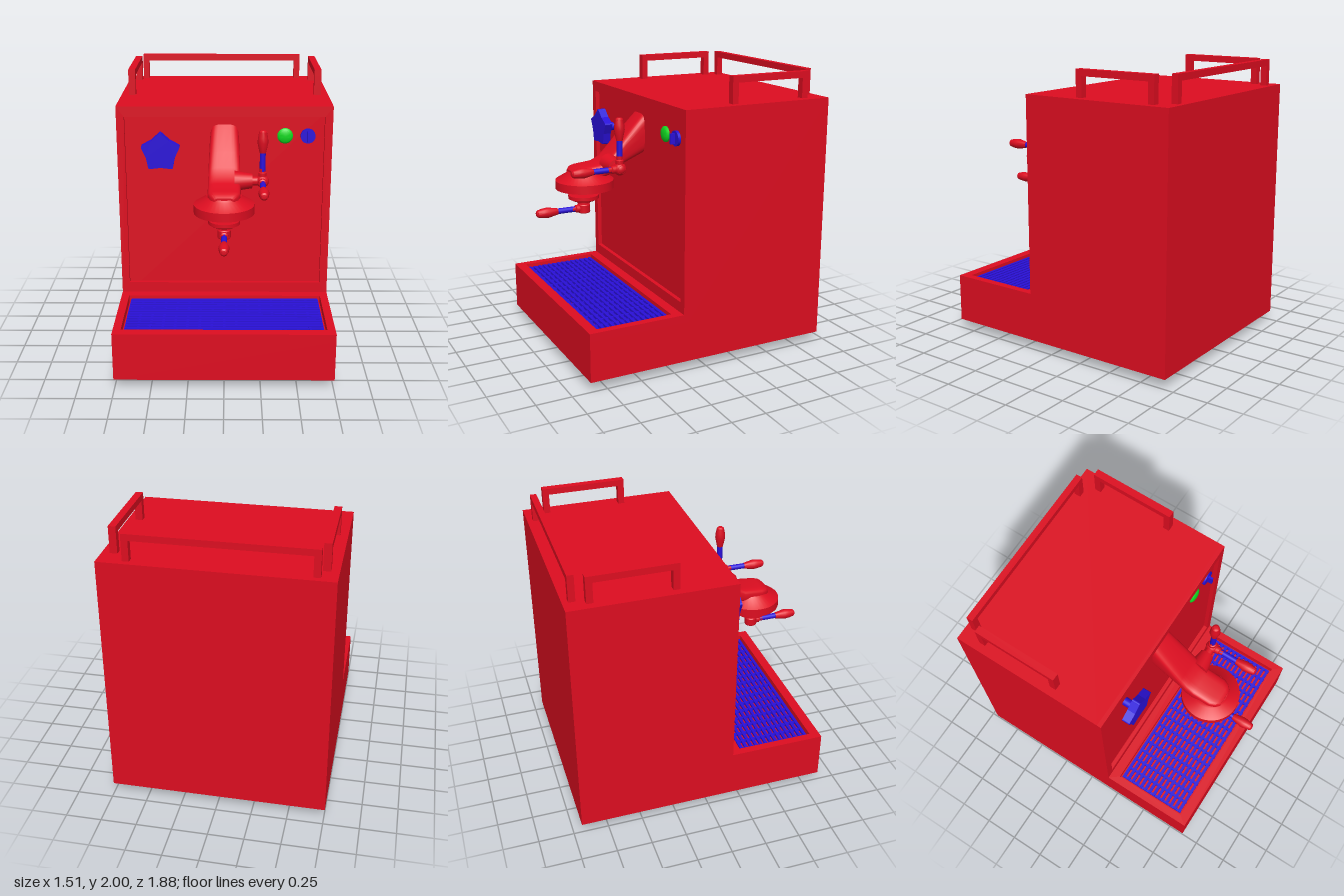
import * as THREE from 'three';
import { toCreasedNormals } from 'three/addons/utils/BufferGeometryUtils.js';

const RED = new THREE.MeshStandardMaterial({ color: 0xdd0d20 });
const BLUE = new THREE.MeshStandardMaterial({ color: 0x2a10d8 });
const GREEN = new THREE.MeshStandardMaterial({ color: 0x10d820 });

function add(parent, name, geometry, material = RED, x = 0, y = 0, z = 0) {
  const mesh = new THREE.Mesh(geometry, material);
  mesh.name = name;
  mesh.position.set(x, y, z);
  parent.add(mesh);
  return mesh;
}

function group(parent, name, x = 0, y = 0, z = 0) {
  const g = new THREE.Group();
  g.name = name;
  g.position.set(x, y, z);
  parent.add(g);
  return g;
}

// Box given by its limits on each axis
function box(parent, name, [x0, x1], [y0, y1], [z0, z1], material = RED) {
  return add(parent, name, new THREE.BoxGeometry(x1 - x0, y1 - y0, z1 - z0), material,
    (x0 + x1) / 2, (y0 + y1) / 2, (z0 + z1) / 2);
}

// Turned part from [radius, height] pairs, running bottom to top
function turned(points, sides = 32) {
  const pts = points.map(([r, y]) => new THREE.Vector2(r, y));
  return toCreasedNormals(new THREE.LatheGeometry(pts, sides), 0.5);
}

// Rectangular plate with a rectangular opening
function frame([x0, x1], [y0, y1], [hx0, hx1], [hy0, hy1], depth) {
  const rect = (T, a, b, c, d) => new T([[a, c], [b, c], [b, d], [a, d]].map(p => new THREE.Vector2(...p)));
  const shape = rect(THREE.Shape, x0, x1, y0, y1);
  shape.holes.push(rect(THREE.Path, hx0, hx1, hy0, hy1));
  return new THREE.ExtrudeGeometry(shape, { depth, bevelEnabled: false });
}

// Rounded-box sections [z, bottom, top, halfWidth] joined along z
function loft(sections, sides = 32) {
  const pos = [], index = [];
  const soft = v => Math.sign(v) * Math.pow(Math.abs(v), 0.5);
  for (const [z, y0, y1, w] of sections) {
    for (let i = 0; i < sides; i++) {
      const a = (i / sides) * Math.PI * 2;
      pos.push(w * soft(Math.cos(a)), (y0 + y1) / 2 + (y1 - y0) / 2 * soft(Math.sin(a)), z);
    }
  }
  for (let s = 0; s < sections.length - 1; s++) {
    for (let i = 0; i < sides; i++) {
      const a = s * sides + i, b = s * sides + (i + 1) % sides;
      index.push(a, b, b + sides, a, b + sides, a + sides);
    }
  }
  const last = (sections.length - 1) * sides;
  for (let i = 1; i < sides - 1; i++) {
    index.push(last, last + i, last + i + 1, 0, i + 1, i);
  }
  const g = new THREE.BufferGeometry();
  g.setAttribute('position', new THREE.Float32BufferAttribute(pos, 3));
  g.setIndex(index);
  return toCreasedNormals(g, 0.6);
}

// Lever along +y: nut, blue shank and a swollen grip
function lever(parent, name, x, y, z) {
  const g = group(parent, name, x, y, z);
  add(g, 'nut', turned([[0, 0.02], [0.028, 0.02], [0.028, 0.06], [0.02, 0.066], [0.02, 0.09], [0, 0.09]], 16));
  add(g, 'shank', new THREE.CylinderGeometry(0.02, 0.02, 0.13, 16), BLUE, 0, 0.135, 0);
  add(g, 'grip', turned([[0, 0.198], [0.022, 0.198], [0.037, 0.27], [0.034, 0.305],
    [0.026, 0.345], [0.016, 0.354], [0, 0.356]], 16));
  return g;
}

export function createModel() {
  const model = new THREE.Group();
  model.name = 'espressoMachine';

  // Housing with a sunken front panel
  const W = [-0.755, 0.755];
  const body = group(model, 'body');
  box(body, 'base', W, [0.07, 0.36], [-0.94, 0.87]);
  box(body, 'housing', W, [0.36, 1.815], [-0.94, 0.15]);
  add(body, 'frontPanelFrame', frame(W, [0.36, 1.815], [-0.7, 0.7], [0.49, 1.74], 0.03), RED, 0, 0, 0.15);
  const rim = add(body, 'trayRim', frame(W, [-0.87, -0.18], [-0.7, 0.7], [-0.8, -0.25], 0.055), RED, 0, 0.36, 0);
  rim.rotation.x = -Math.PI / 2;

  // Drip tray grid
  const grid = group(model, 'dripGrid');
  for (let i = 0; i <= 16; i++) {
    const x = -0.675 + i * 1.35 / 16;
    box(grid, 'crossBar', [x - 0.009, x + 0.009], [0.375, 0.392], [0.262, 0.788], BLUE);
  }
  for (let i = 0; i < 14; i++) {
    const z = 0.274 + i * 0.0385;
    box(grid, 'longBar', [-0.68, 0.68], [0.38, 0.398], [z - 0.011, z + 0.011], BLUE);
  }

  // Feet
  for (const s of [-1, 1]) {
    const x = [s * 0.4325 - 0.1075, s * 0.4325 + 0.1075];
    box(model, 'frontFoot', x, [0, 0.07], [0.415, 0.64]);
    box(model, 'backFoot', x, [0, 0.07], [-0.75, -0.57]);
  }

  // Cup rails on the roof
  const rails = group(model, 'cupRails');
  const t = 0.045;
  box(rails, 'backRailBar', [-0.65, 0.59], [2 - t, 2], [-0.9, -0.855]);
  for (const x of [-0.65, 0.59 - t]) box(rails, 'backRailPost', [x, x + t], [1.815, 2 - t], [-0.9, -0.855]);
  for (const s of [-1, 1]) {
    const x = [s * 0.676 - 0.025, s * 0.676 + 0.025];
    box(rails, 'sideRailBar', x, [2 - t, 2], [-0.8, -0.2]);
    for (const z of [-0.8, -0.2 - t]) box(rails, 'sideRailPost', x, [1.815, 2 - t], [z, z + t]);
  }

  // Brew arm and head
  const head = group(model, 'brewHead');
  add(head, 'arm', loft([
    [0.14, 1.4, 1.69, 0.1], [0.18, 1.385, 1.65, 0.103], [0.3, 1.34, 1.525, 0.108], [0.38, 1.31, 1.435, 0.11],
    [0.43, 1.265, 1.385, 0.112], [0.49, 1.25, 1.355, 0.112], [0.62, 1.25, 1.342, 0.11],
    [0.66, 1.25, 1.335, 0.092], [0.685, 1.25, 1.315, 0.065]]));
  add(head, 'headBell', turned([[0, 1.18], [0.205, 1.18], [0.205, 1.24], [0.13, 1.285], [0.118, 1.3], [0, 1.3]], 40),
    RED, 0, 0, 0.575);

  // Filter holder below the head
  const holder = group(model, 'filterHolder', 0, 0, 0.585);
  add(holder, 'filterDisc', turned([[0, 1.09], [0.08, 1.09], [0.108, 1.105], [0.108, 1.13], [0, 1.13]]));
  add(holder, 'neck', turned([[0, 1.04], [0.03, 1.04], [0.03, 1.065], [0.045, 1.068], [0.045, 1.08],
    [0.032, 1.082], [0.032, 1.095], [0, 1.095]], 20));
  add(holder, 'hub', turned([[0, 1], [0.042, 1], [0.045, 1.005], [0.045, 1.055], [0.04, 1.062], [0, 1.062]], 20));
  lever(holder, 'holderHandle', 0, 1.03, 0).rotation.x = Math.PI / 2;

  // Side valve with an upright and a forward lever
  const valve = group(model, 'sideValve', 0.26, 1.352, 0.42);
  const stub = add(valve, 'stub', turned([[0, -0.19], [0.07, -0.19], [0.05, -0.07], [0.03, -0.068],
    [0.03, 0.035], [0, 0.035]], 20));
  stub.rotation.z = -Math.PI / 2;
  add(valve, 'ball', new THREE.SphereGeometry(0.045, 20, 14));
  lever(valve, 'uprightLever', 0, 0, 0).rotation.y = Math.PI / 4;
  lever(valve, 'forwardLever', 0, 0, 0).rotation.x = Math.PI / 2;

  // Five-pointed knob with softened tips
  const star = new THREE.Shape();
  for (let i = 0; i < 5; i++) {
    const p = (r, da) => {
      const a = Math.PI / 2 + i * Math.PI * 0.4 + da;
      return [r * Math.cos(a), r * Math.sin(a)];
    };
    if (i === 0) star.moveTo(...p(0.133, -0.09));
    else star.lineTo(...p(0.133, -0.09));
    star.quadraticCurveTo(...p(0.147, 0), ...p(0.133, 0.09));
    star.lineTo(...p(0.106, Math.PI / 5));
  }
  const knob = group(model, 'starKnob', -0.445, 1.505, 0);
  add(knob, 'knobFace', new THREE.ExtrudeGeometry(star, { depth: 0.058, bevelEnabled: false, curveSegments: 6 }),
    BLUE, 0, 0, 0.215);
  const shaft = add(knob, 'knobShaft', new THREE.CylinderGeometry(0.03, 0.03, 0.08, 20), BLUE, 0, 0, 0.18);
  shaft.rotation.x = Math.PI / 2;

  // Indicator light and switch
  const light = add(model, 'indicatorLight',
    turned([[0.055, 0], [0.055, 0.01], [0.045, 0.02], [0.025, 0.026], [0, 0.028]], 20), GREEN, 0.425, 1.6, 0.149);
  light.rotation.x = Math.PI / 2;
  const dial = group(model, 'switch', 0.585, 1.6, 0.15);
  add(dial, 'switchPlate', new THREE.CylinderGeometry(0.052, 0.052, 0.02, 28), BLUE, 0, 0, 0.01).rotation.x = Math.PI / 2;
  box(dial, 'switchKey', [-0.008, 0.008], [-0.035, 0.035], [0.02, 0.055], BLUE);

  return model;
}
